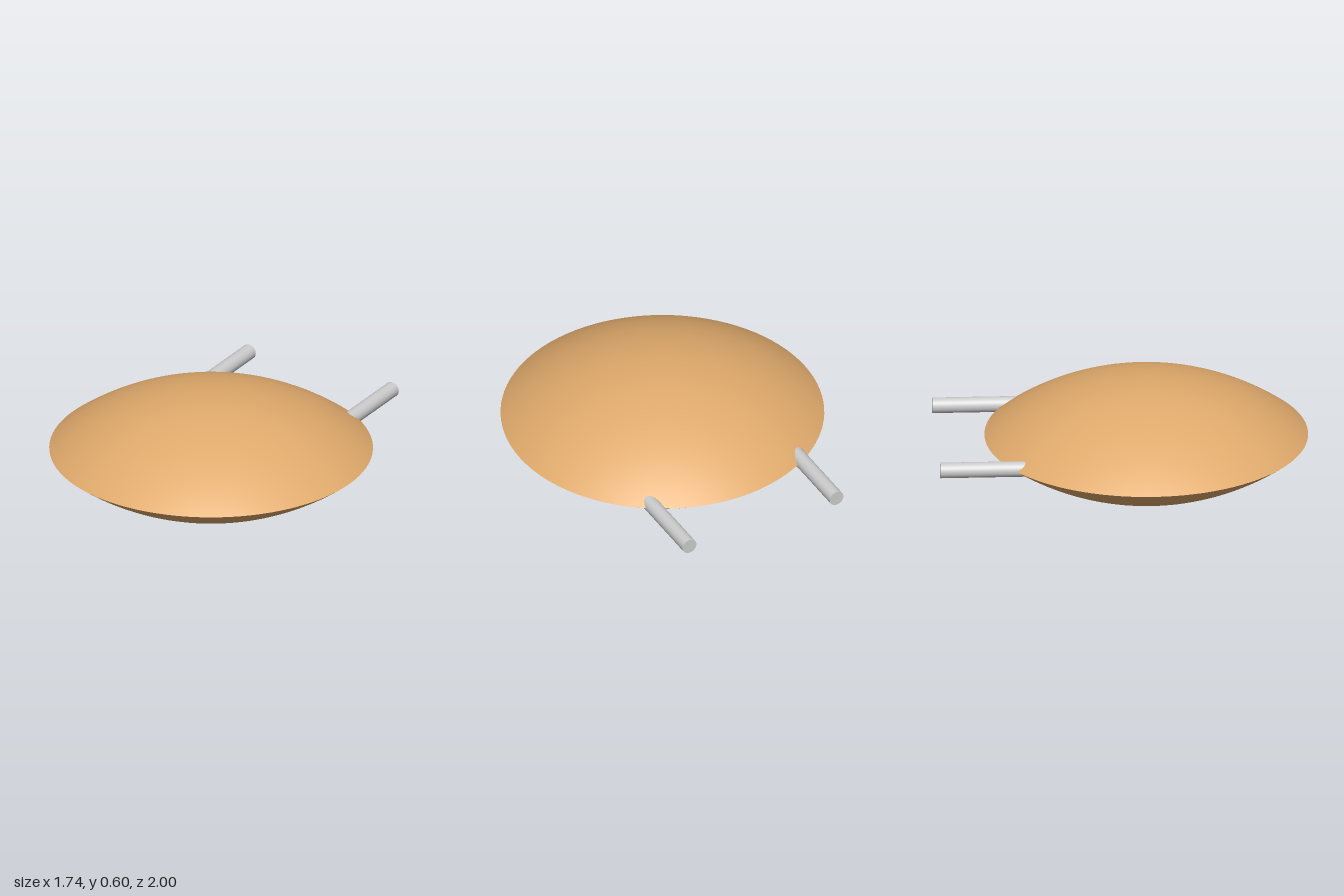
import * as THREE from 'three';

const RADIUS = 0.87, HALF = 0.3, CENTRE_Z = 0.13;

// One spherical cap, rim at y = 0 and crown at y = HALF
function capGeometry() {
  const sphereR = (RADIUS * RADIUS + HALF * HALF) / (2 * HALF);
  const angle = Math.asin(RADIUS / sphereR);
  const geo = new THREE.SphereGeometry(sphereR, 96, 24, 0, Math.PI * 2, 0, angle);
  return geo.translate(0, HALF - sphereR, 0);
}

export function createModel() {
  const model = new THREE.Group();
  model.name = 'lensWithRods';
  const shellMat = new THREE.MeshStandardMaterial({ color: 0xe0aa6c });
  const rodMat = new THREE.MeshStandardMaterial({ color: 0xcccccc });

  // Lens body: two caps meeting at a sharp rim
  const body = new THREE.Group();
  body.name = 'lensBody';
  body.position.set(0, HALF, CENTRE_Z);
  const upper = new THREE.Mesh(capGeometry(), shellMat);
  upper.name = 'upperShell';
  const lower = new THREE.Mesh(capGeometry().rotateX(Math.PI), shellMat);
  lower.name = 'lowerShell';
  body.add(upper, lower);
  model.add(body);

  // Two rods set into the rim, pointing straight back
  const rodFront = -0.45, rodBack = -1;
  for (const side of [1, -1]) {
    const geo = new THREE.CylinderGeometry(0.042, 0.042, rodFront - rodBack, 32);
    const rod = new THREE.Mesh(geo.rotateX(Math.PI / 2), rodMat);
    rod.name = side > 0 ? 'leftRod' : 'rightRod';
    rod.position.set(side * 0.45, HALF, (rodFront + rodBack) / 2);
    model.add(rod);
  }
  return model;
}
